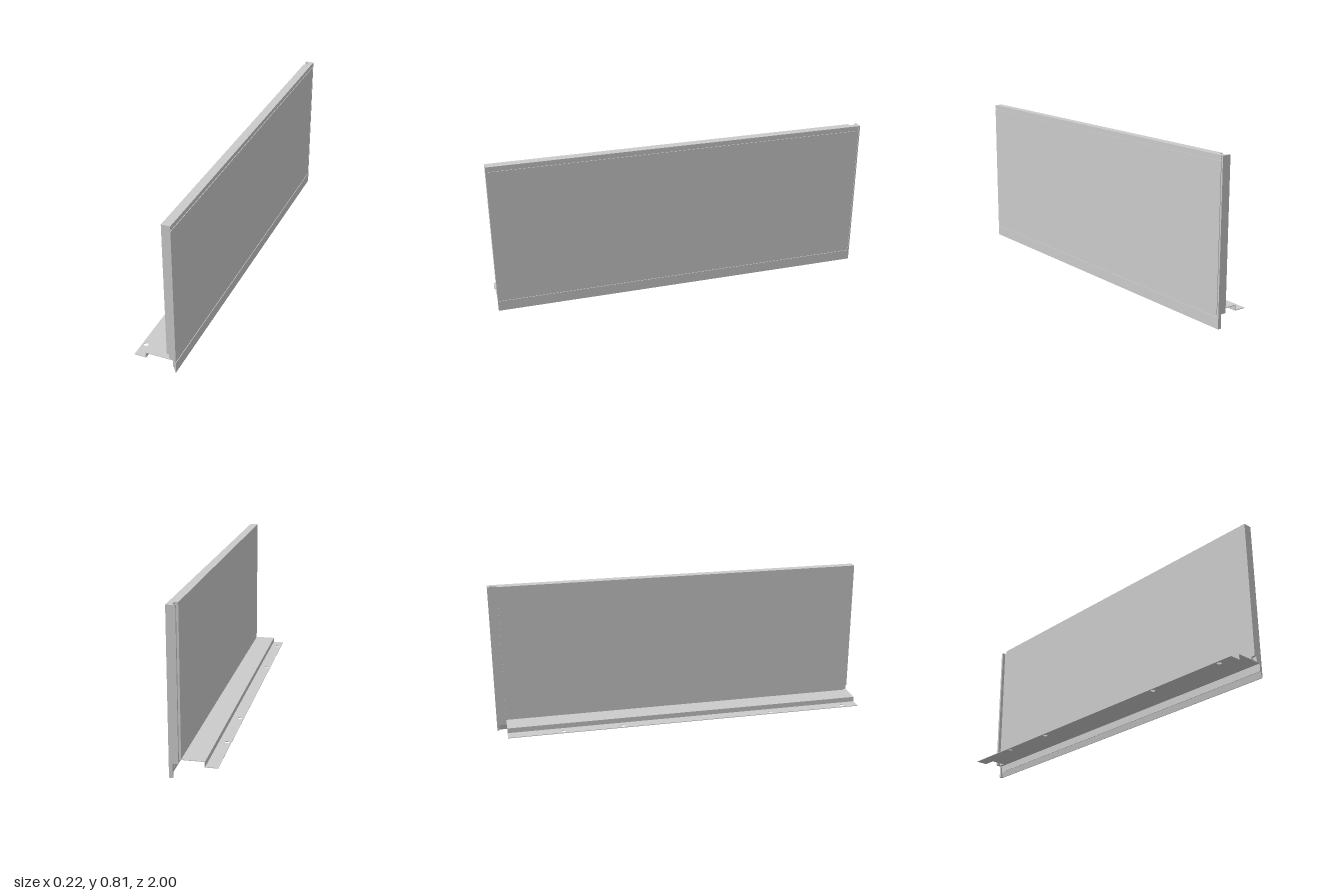
import * as THREE from 'three';

const material = new THREE.MeshStandardMaterial({ color: 0xcccccc });

function polygon(points) {
  return new THREE.Shape(points.map(([x, y]) => new THREE.Vector2(x, y)));
}

export function createModel() {
  const group = new THREE.Group();

  function add(name, geometry) {
    const mesh = new THREE.Mesh(geometry, material);
    mesh.name = name;
    group.add(mesh);
  }

  // Box given by its limits
  function box(name, x0, x1, y0, y1, z0, z1) {
    const g = new THREE.BoxGeometry(x1 - x0, y1 - y0, z1 - z0);
    add(name, g.translate((x0 + x1) / 2, (y0 + y1) / 2, (z0 + z1) / 2));
  }

  // Plan outline (x, -z) raised from y0 to y1
  function raise(name, shape, y0, y1) {
    const g = new THREE.ExtrudeGeometry(shape, { depth: y1 - y0, bevelEnabled: false, curveSegments: 8 });
    add(name, g.rotateX(-Math.PI / 2).translate(0, y0, 0));
  }

  // Cross-section (x, y) run from z0 to z1
  function run(name, points, z0, z1) {
    const g = new THREE.ExtrudeGeometry(polygon(points), { depth: z1 - z0, bevelEnabled: false });
    add(name, g.translate(0, 0, z0));
  }

  const inner = 0.063, core = 0.105, outer = 0.108, top = 0.815;

  // Panel core with the vertical slot behind its hooked back end
  const hook = [[core, 1], [inner, 1], [inner, 0.988], [0.08, 0.988], [0.08, 0.95], [inner, 0.95]];
  raise('panelCore', polygon([[core, -1], ...hook, [inner, -1]]), 0.1, top);

  // Lowest part of the core, notched at the front corner
  raise('panelFoot', polygon([[core, -1], ...hook, [inner, -0.98], [0.075, -0.98], [0.075, -1]]), 0.07, 0.1);

  // Outer skins, separated by narrow grooves
  box('topSkin', core, outer, 0.794, top, -0.988, 1);
  box('mainSkin', core, outer, 0.062, 0.788, -0.988, 1);
  box('backEdgeSkin', core, outer, 0.07, top, -1, -0.994);

  // Tapered skirt hanging below the panel
  run('skirt', [
    [0.104, 0], [outer, 0], [outer, 0.056], [core, 0.056], [core, 0.07], [0.097, 0.07], [0.097, 0.03],
  ], -1, 1);
  box('skirtEndPlate', 0.09, outer, 0, 0.07, -1, -0.988);

  // Stepped mounting sheet
  const t = 0.003;
  run('mountingSheet', [
    [-0.05, 0.042], [-0.05 + t, 0.042], [-0.05 + t, 0.069], [0.094, 0.069], [0.094, 0.03],
    [0.097, 0.03], [0.097, 0.072], [-0.05, 0.072],
  ], -0.95, 1);

  // Lower flange with screw holes
  const flange = polygon([[-0.11, -1], [-0.05, -1], [-0.05, 0.95], [-0.11, 0.95]]);
  for (const z of [-0.655, -0.34, 0.49, 0.915]) {
    flange.holes.push(new THREE.Path().absarc(-0.09, -z, 0.012, 0, Math.PI * 2, true));
  }
  raise('mountingFlange', flange, 0.042, 0.045);

  return group;
}
